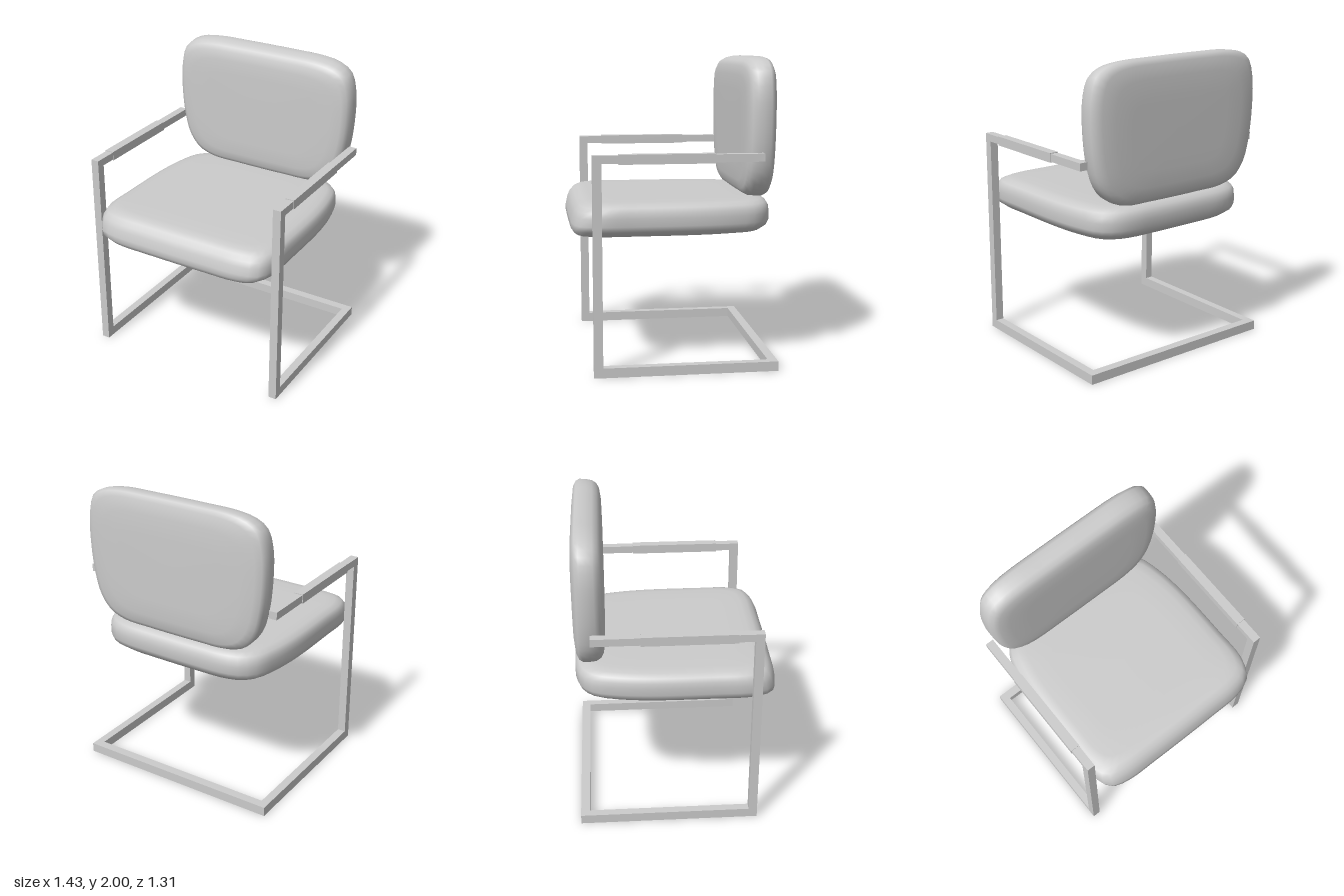
import * as THREE from 'three';

const material = new THREE.MeshStandardMaterial({ color: 0xcccccc });

// Padded slab: half outline (bottom to top, x >= 0) mirrored, then stacked along z.
// Each layer is [z, inset at sides, inset at +y, inset at -y].
function cushion(name, half, layers) {
  const points = [...half, ...half.map(([x, y]) => [-x, y]).reverse()];
  const curve = new THREE.CatmullRomCurve3(
    points.map(([x, y]) => new THREE.Vector3(x, y, 0)), true, 'centripetal');
  const n = 80;
  const outline = curve.getSpacedPoints(n).slice(0, n);
  const w = Math.max(...outline.map(p => p.x));
  const top = Math.max(...outline.map(p => p.y));
  const bottom = -Math.min(...outline.map(p => p.y));
  const first = layers[0], last = layers[layers.length - 1];
  const rings = [[first[0], w, top, bottom], ...layers, [last[0], w, top, bottom]];
  const positions = [], index = [];
  rings.forEach(([z, side, up, down], i) => {
    outline.forEach((p, j) => {
      const sy = p.y > 0 ? 1 - up / top : 1 - down / bottom;
      positions.push(p.x * (1 - side / w), p.y * sy, z);
      if (i === rings.length - 1) return;
      const a = i * n + j, b = i * n + (j + 1) % n;
      if (i > 0) index.push(a, b, b + n);
      if (i < rings.length - 2) index.push(a, b + n, a + n);
      else index.push(a, b, a + n);
      if (i === 0) index.splice(-3, 3, a, b + n, a + n);
    });
  });
  const geometry = new THREE.BufferGeometry();
  geometry.setAttribute('position', new THREE.Float32BufferAttribute(positions, 3));
  geometry.setIndex(index);
  geometry.computeVertexNormals();
  const mesh = new THREE.Mesh(geometry, material);
  mesh.name = name;
  return mesh;
}

// Square bar given by its minimum and maximum corners
function bar(name, [x0, y0, z0], [x1, y1, z1]) {
  const mesh = new THREE.Mesh(new THREE.BoxGeometry(x1 - x0, y1 - y0, z1 - z0), material);
  mesh.position.set((x0 + x1) / 2, (y0 + y1) / 2, (z0 + z1) / 2);
  mesh.name = name;
  return mesh;
}

export function createModel() {
  const group = new THREE.Group();
  group.name = 'cantileverArmchair';

  // Seat: outline drawn with its front edge towards -y, then laid flat
  const seat = cushion('seatCushion', [
    [0.25, -0.655], [0.48, -0.648], [0.6, -0.61], [0.65, -0.5], [0.656, -0.25],
    [0.65, 0.18], [0.622, 0.4], [0.58, 0.54], [0.5, 0.615], [0.38, 0.648], [0.2, 0.655],
  ], [
    [0.86, 0.2, 0.22, 0.1],
    [0.866, 0.13, 0.14, 0.06],
    [0.882, 0.055, 0.055, 0.02],
    [0.915, 0.01, 0.015, 0],
    [0.95, 0, 0, 0.003],
    [1.0, 0, 0, 0.014],
    [1.035, 0.003, 0.003, 0.03],
    [1.065, 0.018, 0.02, 0.055],
    [1.083, 0.055, 0.05, 0.09],
    [1.09, 0.11, 0.1, 0.14],
    [1.093, 0.25, 0.25, 0.28],
  ]);
  seat.rotation.x = -Math.PI / 2;
  group.add(seat);

  // Backrest: wide rounded panel, narrower towards its lower edge
  const back = cushion('backrest', [
    [0.2, -0.455], [0.4, -0.448], [0.52, -0.405], [0.6, -0.31], [0.645, -0.16],
    [0.669, 0.08], [0.662, 0.26], [0.625, 0.375], [0.55, 0.425], [0.42, 0.45], [0.2, 0.455],
  ], [
    [-0.653, 0.28, 0.25, 0.22],
    [-0.65, 0.15, 0.12, 0.11],
    [-0.638, 0.06, 0.035, 0.04],
    [-0.62, 0.02, 0.008, 0.012],
    [-0.595, 0, 0, 0],
    [-0.55, 0, 0.003, 0],
    [-0.51, 0.003, 0.012, 0.004],
    [-0.48, 0.02, 0.03, 0.02],
    [-0.462, 0.05, 0.06, 0.045],
    [-0.452, 0.12, 0.12, 0.1],
    [-0.449, 0.25, 0.22, 0.2],
  ]);
  back.position.y = 1.545;
  group.add(back);

  // Square-tube side frames
  for (const [side, s] of [['left', 1], ['right', -1]]) {
    const sideBar = (part, y0, y1, z0, z1, inner = 0.658, outer = 0.713) => bar(side + part,
      [Math.min(s * inner, s * outer), y0, z0], [Math.max(s * inner, s * outer), y1, z1]);
    group.add(
      sideBar('FrontLeg', 0, 1.405, 0.475, 0.532),
      sideBar('FloorRunner', 0, 0.063, -0.592, 0.475),
      sideBar('Arm', 1.355, 1.405, -0.545, 0.475),
      sideBar('ArmPad', 1.349, 1.41, -0.235, 0.37, 0.655, 0.717),
    );
  }

  // Floor bar joining both runners at the rear
  group.add(bar('rearFloorBar', [-0.713, 0, -0.652], [0.713, 0.063, -0.592]));
  return group;
}
